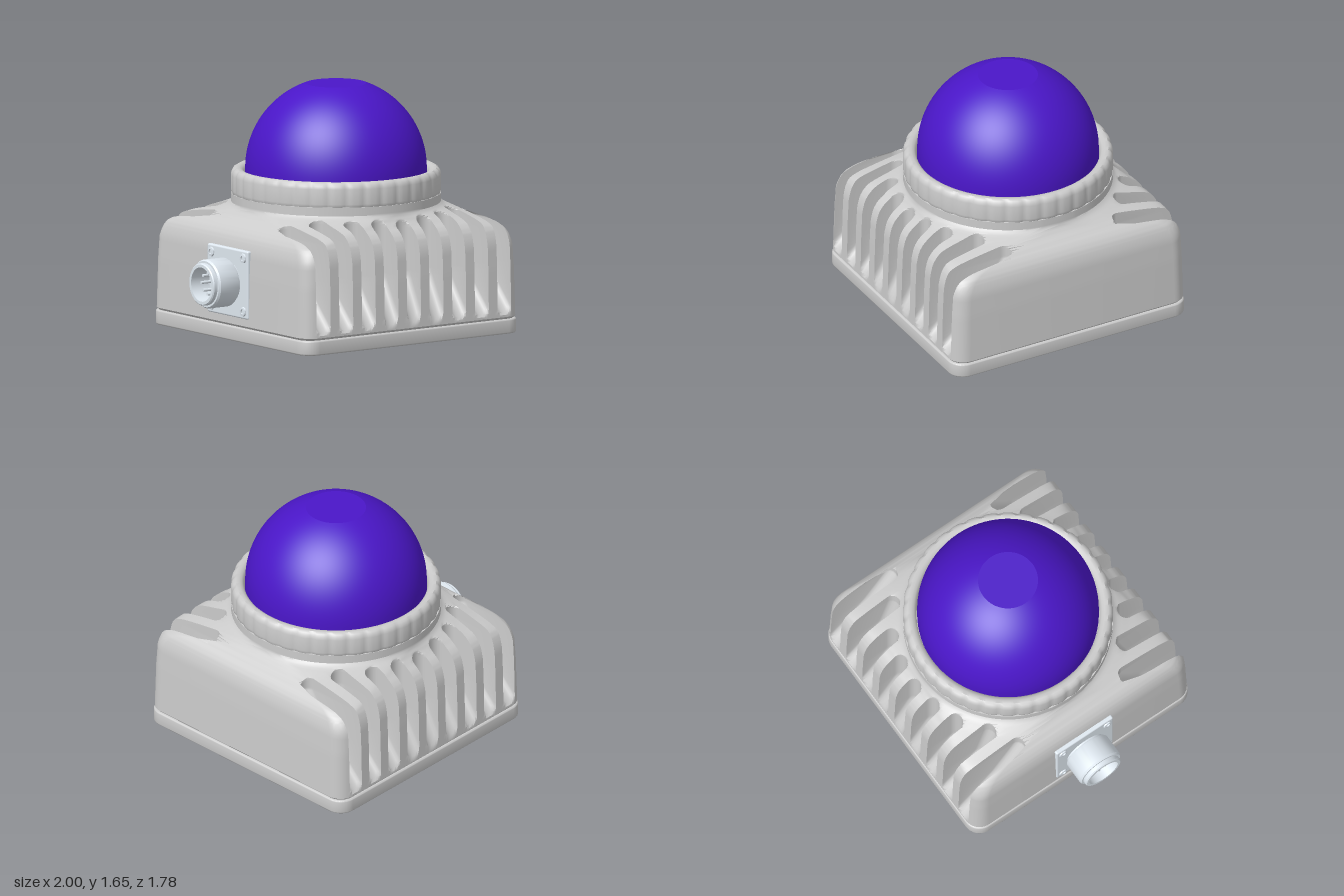
import * as THREE from 'three';
import { toCreasedNormals } from 'three/addons/utils/BufferGeometryUtils.js';
import { RoundedBoxGeometry } from 'three/addons/geometries/RoundedBoxGeometry.js';

const CX = 0.11; // housing axis
const grey = new THREE.MeshStandardMaterial({ color: 0xcccccc, side: THREE.DoubleSide });
const purple = new THREE.MeshStandardMaterial({ color: 0x4a16c8 });
const metal = new THREE.MeshStandardMaterial({ color: 0xdfe8f0, side: THREE.DoubleSide });

function part(parent, name, geometry, material, x = 0, y = 0, z = 0) {
  const mesh = new THREE.Mesh(geometry, material);
  mesh.name = name;
  mesh.position.set(x, y, z);
  parent.add(mesh);
  return mesh;
}

function lathe(points, segments = 64, crease = 0.6) {
  const g = new THREE.LatheGeometry(points.map(p => new THREE.Vector2(...p)), segments);
  return toCreasedNormals(g, crease);
}

// Housing section by height: y, half size, corner radius (square blends into a circle)
const SECTIONS = [
  [0.1, 0.872, 0.1], [0.115, 0.886, 0.11], [0.45, 0.879, 0.11], [0.6, 0.872, 0.11],
  [0.66, 0.861, 0.12], [0.7, 0.845, 0.14], [0.73, 0.825, 0.18], [0.755, 0.8, 0.26],
  [0.78, 0.765, 0.38], [0.81, 0.73, 0.53], [0.84, 0.707, 0.66], [0.86, 0.7, 0.7], [0.92, 0.7, 0.7],
];
function sectionAt(y) {
  let i = 0;
  while (i < SECTIONS.length - 2 && y > SECTIONS[i + 1][0]) i++;
  const [a, b] = [SECTIONS[i], SECTIONS[i + 1]];
  const t = (y - a[0]) / (b[0] - a[0]);
  return [THREE.MathUtils.lerp(a[1], b[1], t), THREE.MathUtils.lerp(a[2], b[2], t)];
}

// Cooling slots: sloping floor below, upright rounded end above, deeper towards the corners
const SLOT_PITCH = 0.186, SLOT_HALF = 0.057;
const SLOT_END = [0.72, 0.7, 0.64, 0.5, 0.39];
function slotZ(y, k) {
  if (y <= 0.13) return 1;
  const end = SLOT_END[Math.abs(k)], knee = Math.max(end, 0.57);
  if (y < 0.45) return THREE.MathUtils.mapLinear(y, 0.13, 0.45, 0.885, knee);
  return THREE.MathUtils.lerp(knee, end, Math.min(1, (y - 0.45) / 0.27));
}

// Points along the front half of a housing section, from -x to +x
function frontStations() {
  const list = [], edge = 4 * SLOT_PITCH + SLOT_HALF, N = 8;
  for (let i = 0; i < N; i++) list.push({ corner: Math.cos(i / N * Math.PI / 2), sign: -1 });
  for (let k = -4; k <= 4; k++) {
    const c = k * SLOT_PITCH;
    list.push({ u: c - SLOT_HALF });
    for (let i = 0; i <= 8; i++) {
      const t = -Math.cos(i / 8 * Math.PI);
      list.push({ u: c + SLOT_HALF * t, k, round: 0.05 * (1 - Math.sqrt(Math.max(0, 1 - t * t))) });
    }
    list.push({ u: c + SLOT_HALF });
    if (k < 4) for (let i = 1; i < 3; i++) list.push({ u: c + SLOT_HALF + (SLOT_PITCH - 2 * SLOT_HALF) * i / 3 });
  }
  for (let i = N - 1; i >= 0; i--) list.push({ corner: Math.cos(i / N * Math.PI / 2), sign: 1 });
  return list.map(p => (s, r, y) => {
    const x = p.k === undefined && p.sign
      ? p.sign * (s > edge ? edge + (s - edge) * p.corner : s)
      : Math.sign(p.u) * Math.min(Math.abs(p.u), s);
    const d = Math.max(0, Math.abs(x) - (s - r));
    const z = s - r + Math.sqrt(Math.max(0, r * r - d * d));
    return [x, p.k === undefined ? z : Math.min(z, slotZ(y, p.k) + p.round)];
  });
}

function housingGeometry() {
  const stations = frontStations(), n = stations.length * 2;
  const rows = [0.1, 0.107, 0.115, 0.13];
  for (let y = 0.15; y < 0.44; y += 0.03) rows.push(y);
  for (let y = 0.45; y < 0.66; y += 0.03) rows.push(y);
  for (let y = 0.67; y < 0.875; y += 0.008) rows.push(y);
  rows.push(0.92);
  const pos = [], index = [];
  for (const y of rows) {
    const [s, r] = sectionAt(y);
    const front = stations.map(f => f(s, r, y));
    for (const [x, z] of front) pos.push(x, y, z);
    for (const [x, z] of front.slice().reverse()) pos.push(x, y, -z);
  }
  for (let j = 0; j < rows.length - 1; j++) {
    for (let i = 0; i < n; i++) {
      const a = j * n + i, b = j * n + (i + 1) % n;
      index.push(a, b, b + n, a, b + n, a + n);
    }
  }
  // caps
  const low = pos.length / 3, high = low + 1, top = (rows.length - 1) * n;
  pos.push(0, rows[0], 0, 0, 0.92, 0);
  for (let i = 0; i < n; i++) {
    const b = (i + 1) % n;
    index.push(low, b, i, high, top + i, top + b);
  }
  const g = new THREE.BufferGeometry();
  g.setAttribute('position', new THREE.Float32BufferAttribute(pos, 3));
  g.setIndex(index);
  return toCreasedNormals(g, 0.6);
}

function basePlateGeometry(screws) {
  const h = 0.89, r = 0.11, c = h - r;
  const shape = new THREE.Shape();
  shape.absarc(c, c, r, 0, Math.PI / 2);
  shape.absarc(-c, c, r, Math.PI / 2, Math.PI);
  shape.absarc(-c, -c, r, Math.PI, Math.PI * 1.5);
  shape.absarc(c, -c, r, Math.PI * 1.5, Math.PI * 2);
  shape.closePath();
  const hole = (x, z, radius) => shape.holes.push(new THREE.Path().absarc(x, z, radius, 0, Math.PI * 2, true));
  for (const [x, z] of screws) hole(x, z, 0.042);
  for (const x of [-0.64, 0.64]) for (const z of [-0.51, 0.51]) hole(x, z, 0.017);
  hole(0, 0.46, 0.024);
  // elongated locating hole
  const oblong = new THREE.Path();
  oblong.absarc(0.02, -0.65, 0.024, Math.PI / 2, -Math.PI / 2, true);
  oblong.absarc(-0.02, -0.65, 0.024, -Math.PI / 2, -Math.PI * 1.5, true);
  shape.holes.push(oblong);
  const g = new THREE.ExtrudeGeometry(shape, {
    depth: 0.076, bevelThickness: 0.012, bevelSize: 0.012, bevelOffset: -0.012, bevelSegments: 3, curveSegments: 16,
  });
  g.rotateX(Math.PI / 2).translate(0, 0.088, 0);
  return toCreasedNormals(g, 0.6);
}

// Clamp ring with shallow grip scallops
function ringGeometry() {
  const profile = [[0.61, 0.9], [0.665, 0.9], [0.685, 0.905], [0.697, 0.92], [0.7, 0.94], [0.7, 1.04], [0.696, 1.06],
    [0.685, 1.076], [0.668, 1.085], [0.645, 1.084], [0.627, 1.076], [0.614, 1.06], [0.61, 1.03], [0.61, 0.9]];
  const g = new THREE.LatheGeometry(profile.map(p => new THREE.Vector2(...p)), 288);
  const p = g.attributes.position;
  for (let i = 0; i < p.count; i++) {
    const x = p.getX(i), z = p.getZ(i), r = Math.hypot(x, z);
    if (r < 0.68) continue;
    const k = 1 - 0.012 * Math.pow(0.5 + 0.5 * Math.cos(Math.atan2(z, x) * 36), 3);
    p.setX(i, x * k);
    p.setZ(i, z * k);
  }
  return toCreasedNormals(g, 0.6);
}

function connector() {
  const group = new THREE.Group();
  group.name = 'connector';
  // local y points out of the housing
  part(group, 'connectorFlange', new RoundedBoxGeometry(0.46, 0.04, 0.46, 3, 0.012), metal, 0, 0.015, 0);
  part(group, 'connectorShell', lathe([[0, 0.1], [0.115, 0.1], [0.115, 0.25], [0.135, 0.25], [0.142, 0.243],
    [0.142, 0.218], [0.155, 0.218], [0.164, 0.205], [0.164, 0.06], [0.158, 0.05], [0.145, 0.05], [0.145, 0.02]]), metal);
  for (let i = 0; i < 8; i++) {
    const a = i / 8 * Math.PI * 2;
    part(group, 'contactPin', new THREE.CylinderGeometry(0.01, 0.01, 0.1, 12), metal, 0.07 * Math.cos(a), 0.15, 0.07 * Math.sin(a));
  }
  for (const x of [-0.18, 0.18]) for (const z of [-0.18, 0.18]) {
    part(group, 'flangeScrew', lathe([[0, 0.034], [0.016, 0.034], [0.016, 0.046], [0.03, 0.044], [0.034, 0.03]], 24), metal, x, 0, z);
  }
  group.rotation.z = Math.PI / 2;
  group.position.set(-0.75, 0.395, 0);
  return group;
}

export function createModel() {
  const model = new THREE.Group();
  model.name = 'signalBeacon';
  const screws = [[-0.79, -0.79], [0.79, -0.79], [-0.79, 0.79], [0.79, 0.79]];

  part(model, 'basePlate', basePlateGeometry(screws), grey, CX);
  part(model, 'finnedHousing', housingGeometry(), grey, CX);
  part(model, 'clampRing', ringGeometry(), grey, CX);

  // dome with a small flat crown
  const dome = [[0.605, 1.0]], crown = Math.acos(0.2 / 0.605);
  for (let i = 0; i <= 32; i++) {
    const a = i / 32 * crown;
    dome.push([0.605 * Math.cos(a), 1.08 + 0.605 * Math.sin(a)]);
  }
  dome.push([0, 1.08 + 0.605 * Math.sin(crown)]);
  part(model, 'dome', lathe(dome, 96, 0.25), purple, CX);

  // socket screws in the underside
  for (const [x, z] of screws) {
    part(model, 'baseScrew', lathe([[0, 0.045], [0.017, 0.045], [0.017, 0.012], [0.032, 0.012], [0.037, 0.018], [0.037, 0.09]], 24), grey, CX + x, 0, z);
  }
  model.add(connector());
  return model;
}
